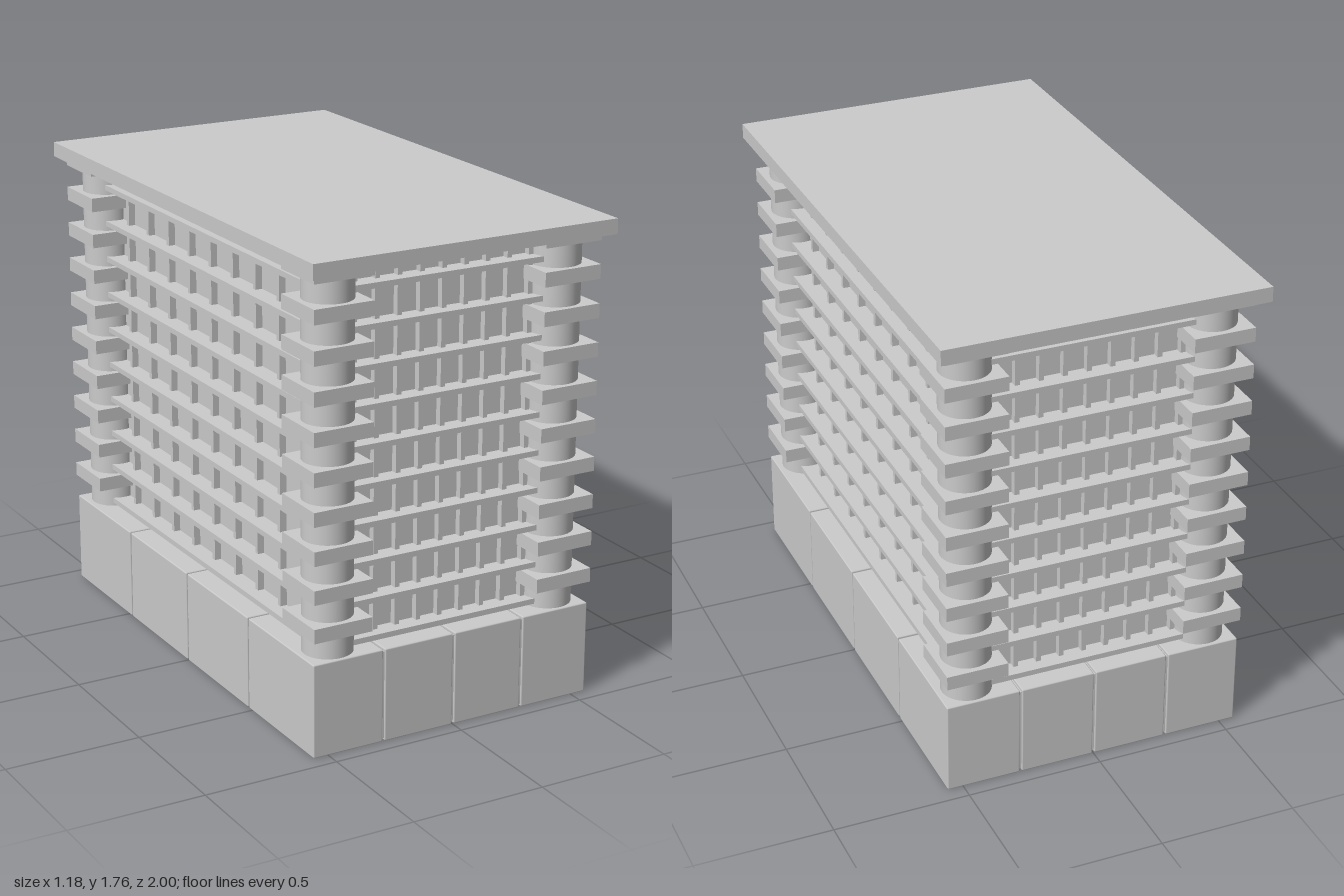
import * as THREE from 'three';
import { RoundedBoxGeometry } from 'three/addons/geometries/RoundedBoxGeometry.js';

const grey = new THREE.MeshStandardMaterial({ color: 0xcccccc });

function add(parent, name, geometry, x, y, z) {
  const mesh = new THREE.Mesh(geometry, grey);
  mesh.name = name;
  mesh.position.set(x, y, z);
  parent.add(mesh);
  return mesh;
}

function addGroup(parent, name) {
  const group = new THREE.Group();
  group.name = name;
  parent.add(group);
  return group;
}

const box = (w, h, d) => new THREE.BoxGeometry(w, h, d);

export function createModel() {
  const tower = new THREE.Group();
  tower.name = 'officeTower';

  const baseTop = 0.345, roofBottom = 1.703, floorStep = 0.139;
  const shaftH = roofBottom - baseTop, shaftY = (roofBottom + baseTop) / 2;

  // Podium: a 4 x 4 grid of blocks with fine joints over a solid core
  const podium = addGroup(tower, 'podium');
  const W = 1.124, D = 1.896, n = 4, joint = 0.008;
  add(podium, 'podiumCore', box(W - 0.02, baseTop - 0.02, D - 0.02), 0, baseTop / 2, 0);
  const block = new RoundedBoxGeometry(W / n - joint, baseTop, D / n - joint, 1, 0.005);
  for (let i = 0; i < n; i++) {
    for (let j = 0; j < n; j++) {
      add(podium, 'podiumBlock', block,
        ((i + 0.5) / n - 0.5) * W, baseTop / 2, ((j + 0.5) / n - 0.5) * D);
    }
  }

  // Recessed walls
  add(tower, 'walls', box(0.84, shaftH, 1.64), 0, shaftY, 0);

  // Vertical fins on all four walls
  const fins = addGroup(tower, 'fins');
  const fin = box(0.018, shaftH - 0.006, 0.03);
  const sideFin = box(0.03, shaftH - 0.006, 0.018);
  for (let i = -4; i <= 4; i++) {
    for (const s of [-1, 1]) {
      add(fins, 'frontFin', fin, i * 0.0865, shaftY, s * 0.83);
      add(fins, 'sideFin', sideFin, s * 0.43, shaftY, i * 0.1665);
    }
  }

  // Floor slabs whose edges form the ledges
  const slabs = addGroup(tower, 'floorSlabs');
  const slab = box(0.98, 0.02, 1.776);
  for (let i = 0; i < 10; i++) add(slabs, 'floorSlab', slab, 0, 0.368 + i * floorStep, 0);

  // Round corner columns with square collars
  const shaft = new THREE.CylinderGeometry(0.09, 0.09, shaftH, 40);
  const collar = box(0.226, 0.052, 0.22);
  const cap = box(0.226, 0.028, 0.22);
  for (const sx of [-1, 1]) {
    for (const sz of [-1, 1]) {
      const column = addGroup(tower, 'cornerColumn');
      column.position.set(sx * 0.447, 0, sz * 0.843);
      add(column, 'columnShaft', shaft, 0, shaftY, 0);
      for (let i = 0; i < 9; i++) add(column, 'collar', collar, 0, 0.453 + i * floorStep, 0);
      add(column, 'columnCap', cap, 0, roofBottom - 0.014, 0);
    }
  }

  // Overhanging flat roof
  add(tower, 'roof', box(1.18, 0.055, 2), 0, roofBottom + 0.0275, 0);

  return tower;
}
